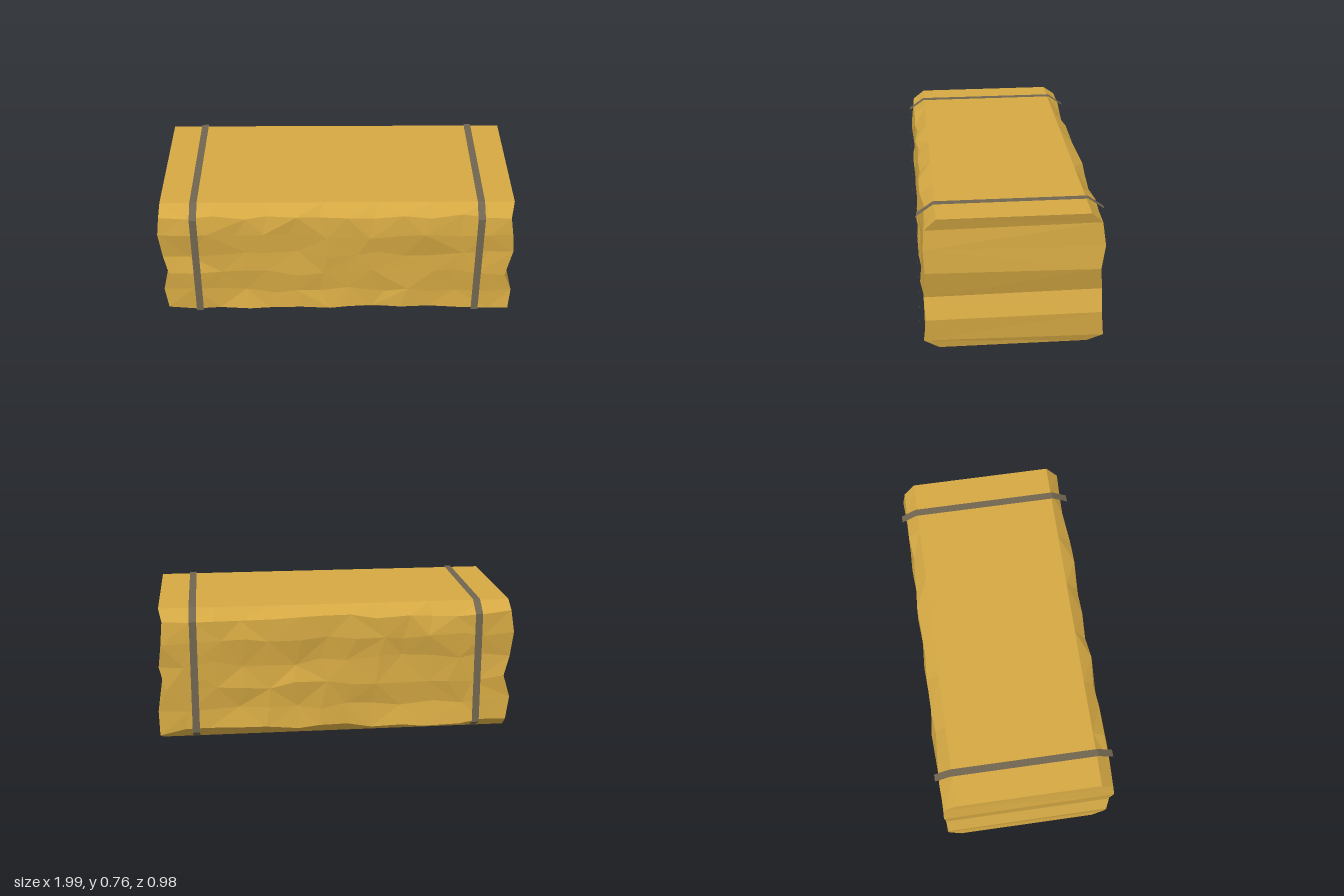
import * as THREE from 'three';

// Small seeded generator, returns -1..1
function seeded(seed) {
  let s = seed;
  return () => {
    s = (s * 16807) % 2147483647;
    return (s / 2147483647) * 2 - 1;
  };
}

// Skin closed rings of points laid out along x; optionally close both ends with strips
function loft(rings, capped) {
  const pos = [];
  const quad = (a, b, c, d, flip) => {
    const tris = flip ? [a, b, d, b, c, d] : [a, b, c, a, c, d];
    for (const p of tris) pos.push(...p);
  };
  const n = rings[0].length;
  for (let i = 0; i < rings.length - 1; i++) {
    for (let j = 0; j < n; j++) {
      const k = (j + 1) % n;
      quad(rings[i][j], rings[i][k], rings[i + 1][k], rings[i + 1][j], (i * 3 + j * j) % 2 === 1);
    }
  }
  if (capped) {
    const L = rings[0], R = rings[rings.length - 1];
    for (let j = 0; j < n / 2 - 1; j++) {
      const m = n - 1 - j;
      quad(R[j], R[j + 1], R[m - 1], R[m], j % 2 === 1);
      quad(L[m], L[m - 1], L[j + 1], L[j], j % 2 === 0);
    }
  }
  const geo = new THREE.BufferGeometry();
  geo.setAttribute('position', new THREE.Float32BufferAttribute(pos, 3));
  geo.computeVertexNormals();
  return geo;
}

// Rows of the rough sides, top to bottom: height, depth, x of left end, x of right end
const ROWS = [
  [0.69, 0.461, -0.975, 0.96],
  [0.57, 0.474, -0.995, 0.97],
  [0.44, 0.459, -0.98, 0.985],
  [0.31, 0.472, -0.95, 0.95],
  [0.18, 0.461, -0.99, 0.995],
  [0.055, 0.472, -0.97, 0.985],
];
const COLS = 13;

function baleGeometry() {
  const rand = seeded(4711);
  const rings = [];
  for (let i = 0; i <= COLS; i++) {
    const t = i / COLS, end = i === 0 || i === COLS;
    const edgeX = -0.975 + 1.95 * t;
    const side = (sign) => ROWS.map(([y, z, x0, x1]) => {
      const x = x0 + (x1 - x0) * t + rand() * (end ? 0.005 : 0.035);
      const dy = rand() * (y > 0.6 || y < 0.1 ? 0.016 : 0.022);
      return [x, y + dy, sign * (z + rand() * (end ? 0.006 : 0.011))];
    });
    rings.push([
      [edgeX, 0.75, 0.397], ...side(1), [edgeX, 0, 0.394],
      [edgeX, 0, -0.394], ...side(-1).reverse(), [edgeX, 0.75, -0.397],
    ]);
  }
  return loft(rings, true);
}

// Flat strap following the chamfered outline, just proud of the bale
function strapGeometry() {
  const half = [[0.757, 0.405], [0.695, 0.492], [0.055, 0.492], [0.002, 0.405]];
  const outline = [...half, ...half.map(([y, z]) => [y, -z]).reverse()];
  return loft([-0.02, 0.02].map((x) => outline.map(([y, z]) => [x, y, z])), false);
}

export function createModel() {
  const model = new THREE.Group();
  model.name = 'strawBale';

  const straw = new THREE.MeshStandardMaterial({ color: 0xd4a843, flatShading: true });
  straw.name = 'straw';
  const twine = new THREE.MeshStandardMaterial({ color: 0x70654f, flatShading: true });
  twine.name = 'twine';

  const bale = new THREE.Mesh(baleGeometry(), straw);
  bale.name = 'bale';
  model.add(bale);

  const strapGeo = strapGeometry();
  for (const s of [-1, 1]) {
    const strap = new THREE.Mesh(strapGeo, twine);
    strap.name = s > 0 ? 'leftStrap' : 'rightStrap';
    strap.position.x = s * 0.79;
    model.add(strap);
  }
  return model;
}
